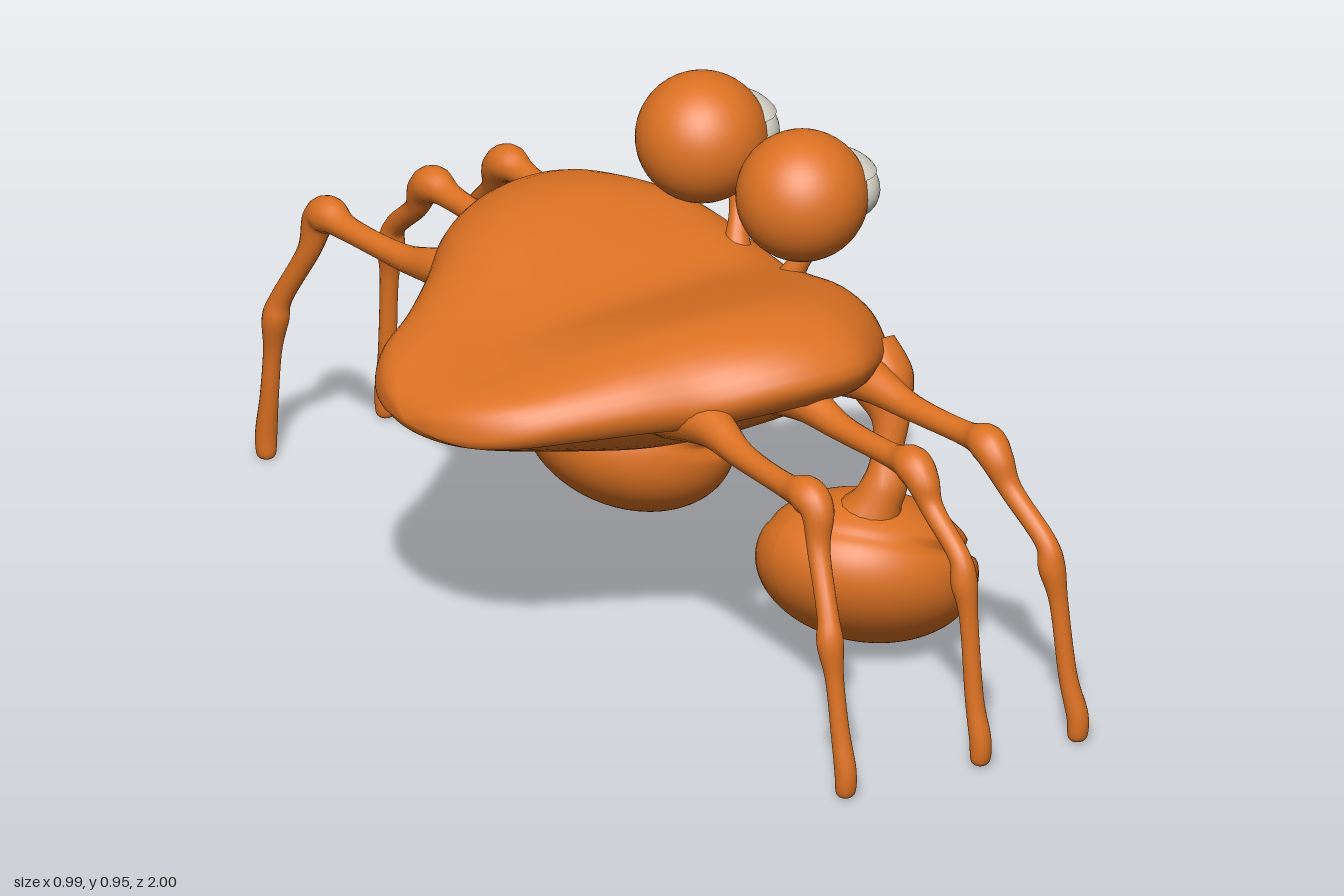
import * as THREE from 'three';

const mix = THREE.MathUtils.lerp;

// Catmull-Rom interpolation of rows of numbers, n steps between rows
function smooth(rows, n) {
  const out = [];
  const at = i => rows[Math.min(rows.length - 1, Math.max(0, i))];
  for (let i = 0; i < rows.length - 1; i++) {
    const [a, b, c, d] = [at(i - 1), at(i), at(i + 1), at(i + 2)];
    for (let k = 0; k < n; k++) {
      const t = k / n;
      out.push(b.map((v, j) => {
        const cubic = 3 * (v - c[j]) + d[j] - a[j];
        const square = 2 * a[j] - 5 * v + 4 * c[j] - d[j];
        return v + 0.5 * t * (c[j] - a[j] + t * (square + t * cubic));
      }));
    }
  }
  out.push(at(rows.length - 1));
  return out;
}

// Skin over closed rings of points, with closed ends and outward faces
function loft(rings) {
  const m = rings[0].length, pos = [], idx = [];
  rings.forEach(r => r.forEach(p => pos.push(p.x, p.y, p.z)));
  for (let i = 0; i < rings.length - 1; i++) {
    for (let j = 0; j < m; j++) {
      const a = i * m + j, b = i * m + (j + 1) % m;
      idx.push(a, b, a + m, b, b + m, a + m);
    }
  }
  [0, rings.length - 1].forEach(i => {
    const c = new THREE.Vector3();
    rings[i].forEach(p => c.addScaledVector(p, 1 / m));
    const k = pos.length / 3;
    pos.push(c.x, c.y, c.z);
    for (let j = 0; j < m; j++) {
      const a = i * m + j, b = i * m + (j + 1) % m;
      if (i) idx.push(a, b, k); else idx.push(b, a, k);
    }
  });
  // Flip the winding if the enclosed volume is negative
  const P = i => new THREE.Vector3().fromArray(pos, idx[i] * 3);
  let volume = 0;
  for (let i = 0; i < idx.length; i += 3) volume += P(i).dot(P(i + 1).cross(P(i + 2)));
  if (volume < 0) idx.reverse();
  const g = new THREE.BufferGeometry();
  g.setAttribute('position', new THREE.Float32BufferAttribute(pos, 3));
  g.setIndex(idx);
  g.computeVertexNormals();
  return g;
}

// Tube of changing radius through rows of [x, y, z, radius]
function limb(rows) {
  const pts = smooth(rows, 7);
  const V = p => new THREE.Vector3(p[0], p[1], p[2]);
  return loft(pts.map((p, i) => {
    const t = V(pts[Math.min(i + 1, pts.length - 1)]).sub(V(pts[Math.max(i - 1, 0)])).normalize();
    const u = new THREE.Vector3(1, 0, 0).addScaledVector(t, -t.x).normalize();
    const v = t.clone().cross(u);
    return Array.from({ length: 16 }, (_, j) => {
      const a = j / 16 * Math.PI * 2;
      return V(p).addScaledVector(u, Math.cos(a) * p[3]).addScaledVector(v, Math.sin(a) * p[3]);
    });
  }));
}

// Shell with two raised lobes, an overhanging rim and a rounded belly
function bodyGeometry() {
  // x, half width, centre top, lobe top, rim, underside of rim, belly
  const stations = [
    [-0.5, 0.01, 0.525, 0.525, 0.52, 0.518, 0.515],
    [-0.485, 0.09, 0.55, 0.55, 0.52, 0.508, 0.497],
    [-0.45, 0.165, 0.575, 0.575, 0.525, 0.502, 0.48],
    [-0.39, 0.23, 0.595, 0.598, 0.54, 0.505, 0.458],
    [-0.3, 0.285, 0.615, 0.62, 0.56, 0.51, 0.432],
    [-0.2, 0.36, 0.63, 0.655, 0.585, 0.525, 0.41],
    [-0.1, 0.45, 0.638, 0.695, 0.61, 0.545, 0.394],
    [0, 0.5, 0.642, 0.715, 0.63, 0.56, 0.386],
    [0.1, 0.52, 0.645, 0.72, 0.635, 0.565, 0.385],
    [0.2, 0.505, 0.645, 0.712, 0.63, 0.56, 0.394],
    [0.3, 0.42, 0.64, 0.685, 0.61, 0.545, 0.42],
    [0.36, 0.34, 0.62, 0.645, 0.585, 0.53, 0.445],
    [0.4, 0.26, 0.585, 0.595, 0.555, 0.515, 0.47],
    [0.43, 0.15, 0.555, 0.557, 0.535, 0.515, 0.495],
    [0.44, 0.01, 0.53, 0.53, 0.525, 0.522, 0.518],
  ];
  return loft(smooth(stations, 5).map(([x, w, yc, yl, yr, yu, yb]) => {
    const half = [
      [0, yc], [0.3, mix(yc, yl, 0.5)], [0.62, yl], [0.88, mix(yr, yl, 0.72)], [1, yr],
      [0.93, mix(yr, yu, 0.8)], [0.77, yu], [0.62, mix(yu, yb, 0.45)], [0.35, mix(yu, yb, 0.85)], [0, yb],
    ];
    const mirrored = half.slice(1, -1).reverse().map(([z, y]) => [-z, y]);
    const ring = half.concat(mirrored).map(([z, y]) => new THREE.Vector3(x, y, z * w));
    return new THREE.CatmullRomCurve3(ring, true).getPoints(72).slice(0, -1);
  }));
}

// Rounded claw with a groove that deepens between the pincers in front
function clawGeometry() {
  const g = new THREE.SphereGeometry(1, 56, 64);
  const p = g.attributes.position;
  const v = new THREE.Vector3();
  for (let i = 0; i < p.count; i++) {
    v.fromBufferAttribute(p, i);
    const front = THREE.MathUtils.smoothstep(v.x, -0.4, 0.5);
    const offset = (v.y - 0.4) / 0.07;
    const groove = Math.exp(-offset * offset);
    v.multiplyScalar(1 - groove * (0.015 + 0.11 * front));
    p.setXYZ(i, v.x * 0.215, v.y * 0.145, v.z * 0.2);
  }
  g.computeVertexNormals();
  return g;
}

export function createModel() {
  const model = new THREE.Group();
  const mat = (name, color) => Object.assign(new THREE.MeshStandardMaterial({ color }), { name });
  const orange = mat('shellOrange', 0xdd7223);
  const white = mat('eyeWhite', 0xd6d2c6);
  const slate = mat('irisSlate', 0x59717a);
  const add = (name, geometry, material, parent = model) => {
    const mesh = new THREE.Mesh(geometry, material);
    mesh.name = name;
    parent.add(mesh);
    return mesh;
  };

  add('body', bodyGeometry(), orange);

  // Legs: name, root x, knee x, joint [x, y, z], foot [x, z]
  const legs = [
    ['rearLeg', -0.1, -0.125, [-0.16, 0.31, 0.9], [-0.153, 0.94]],
    ['middleLeg', 0.11, 0.115, [0.125, 0.37, 0.93], [0.137, 0.965]],
    ['frontLeg', 0.26, 0.285, [0.318, 0.355, 0.94], [0.348, 0.98]],
  ];
  for (const s of [1, -1]) {
    const side = s > 0 ? 'Left' : 'Right';
    const sided = rows => rows.map(([x, y, z, r]) => [x, y, z * s, r]);
    for (const [name, rx, kx, [jx, jy, jz], [fx, fz]] of legs) {
      add(name + side, limb(sided([
        [rx, 0.56, 0.3, 0.065], [rx, 0.565, 0.43, 0.042], [mix(rx, kx, 0.5), 0.55, 0.55, 0.026],
        [kx, 0.552, 0.71, 0.024], [kx, 0.558, 0.775, 0.036], [kx, 0.535, 0.81, 0.032],
        [mix(kx, jx, 0.3), mix(0.55, jy, 0.35), mix(0.79, jz, 0.35), 0.022],
        [mix(kx, jx, 0.85), jy + 0.05, jz - 0.015, 0.021], [jx, jy, jz, 0.026],
        [mix(jx, fx, 0.25), jy - 0.07, mix(jz, fz, 0.3), 0.018],
        [mix(jx, fx, 0.6), 0.14, mix(jz, fz, 0.65), 0.018],
        [fx, 0.06, fz, 0.021], [fx, 0.016, fz, 0.018], [fx, 0.006, fz, 0.004],
      ])), orange);
    }

    // Claw arm and claw
    add('clawArm' + side, limb(sided([
      [0.31, 0.6, 0.36, 0.05], [0.31, 0.54, 0.4, 0.062], [0.305, 0.48, 0.435, 0.038],
      [0.29, 0.42, 0.447, 0.03], [0.28, 0.365, 0.455, 0.042], [0.265, 0.325, 0.45, 0.048],
      [0.25, 0.27, 0.43, 0.075],
    ])), orange);
    const claw = add('claw' + side, clawGeometry(), orange);
    claw.position.set(0.285, 0.165, 0.387 * s);
    claw.rotation.set(-0.22 * s, 0, -0.34);

    // Eye on a stalk, looking towards +x
    add('eyeStalk' + side, limb(sided([
      [0.315, 0.61, 0.08, 0.035], [0.328, 0.655, 0.095, 0.022],
      [0.345, 0.7, 0.115, 0.018], [0.355, 0.76, 0.135, 0.022],
    ])), orange);
    const eye = new THREE.Group();
    eye.name = 'eye' + side;
    eye.position.set(0.305, 0.828, s > 0 ? 0.148 : -0.178);
    model.add(eye);
    add('eyeball', new THREE.SphereGeometry(0.125, 40, 28), orange, eye);
    const part = (name, geometry, material, grow) => {
      const mesh = add(name, geometry, material, eye);
      mesh.position.x = 0.085;
      mesh.scale.set(0.069 + grow, 0.064 + grow, 0.09 + grow);
    };
    part('eyeWhite', new THREE.SphereGeometry(1, 32, 24), white, 0);
    part('iris', new THREE.SphereGeometry(1, 28, 10, 0, Math.PI * 2, 0, 0.61).rotateZ(-Math.PI / 2), slate, 0.002);
    part('upperLid', new THREE.SphereGeometry(1, 32, 10, 0, Math.PI * 2, 0, 1.02), white, 0.006);
  }
  return model;
}
